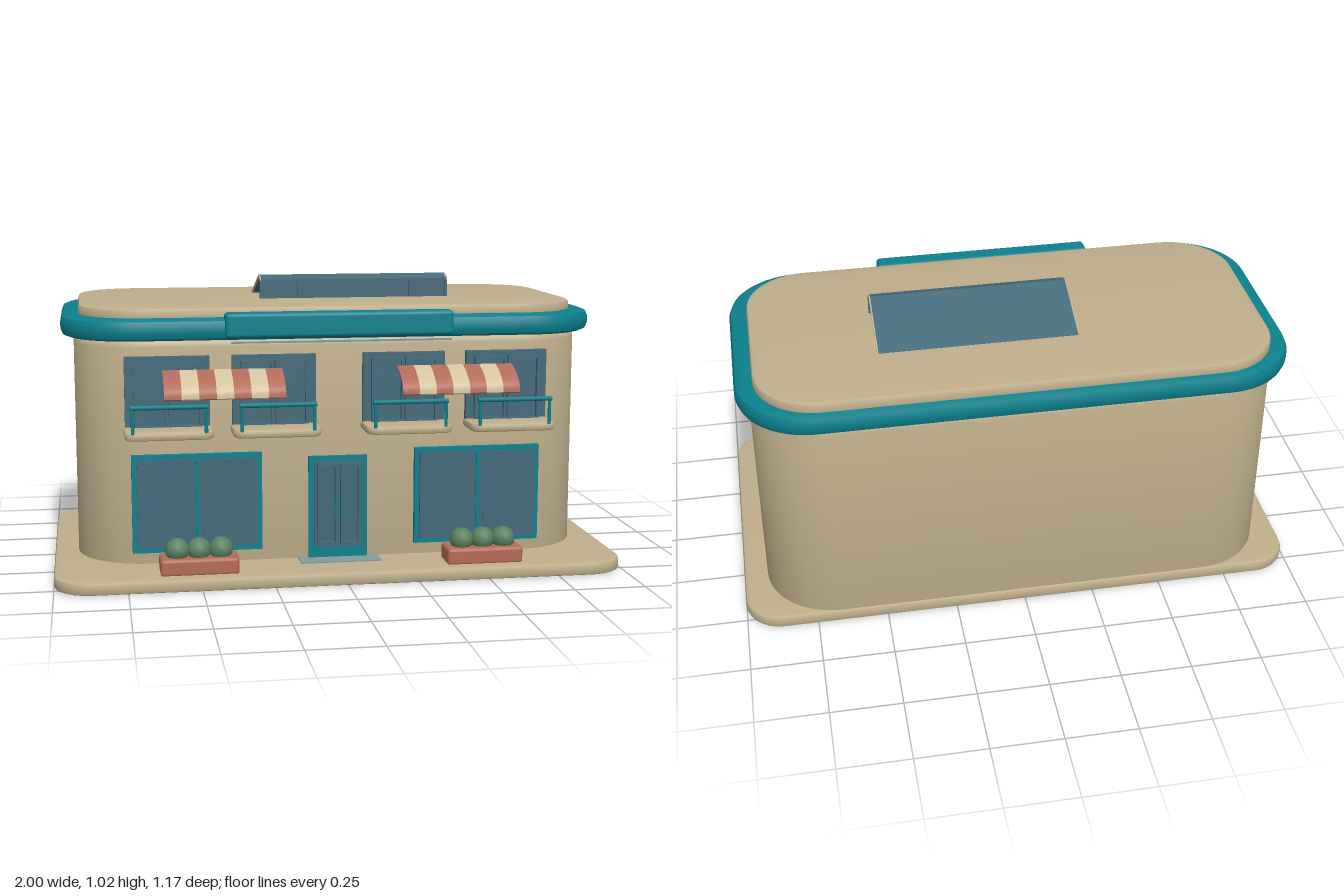
import * as THREE from 'three';
import { toCreasedNormals } from 'three/addons/utils/BufferGeometryUtils.js';
import { RoundedBoxGeometry } from 'three/addons/geometries/RoundedBoxGeometry.js';

const mat = (name, color) => Object.assign(new THREE.MeshStandardMaterial({ color }), { name });

export function createModel() {
  const model = new THREE.Group();
  model.name = 'shopBuilding';
  const stucco = mat('stucco', 0xbfae8c);
  const teal = mat('teal', 0x0b808c);
  const glass = mat('glass', 0x456a7a);
  const terracotta = mat('terracotta', 0xb26a58);
  const cream = mat('cream', 0xd3c29e);
  const green = mat('foliage', 0x5c8060);
  const pale = mat('paleGlass', 0x84999b);

  const add = (parent, name, geo, material) => {
    const m = new THREE.Mesh(geo, material);
    m.name = name;
    parent.add(m);
    return m;
  };
  const group = (name, x = 0) => {
    const g = new THREE.Group();
    g.name = name;
    g.position.x = x;
    model.add(g);
    return g;
  };
  // Box given by its extents
  const box = (parent, name, material, x0, x1, y0, y1, z0, z1) =>
    add(parent, name, new THREE.BoxGeometry(x1 - x0, y1 - y0, z1 - z0), material)
      .position.set((x0 + x1) / 2, (y0 + y1) / 2, (z0 + z1) / 2);
  const rounded = (parent, name, material, x0, x1, y0, y1, z0, z1, r) =>
    add(parent, name, new RoundedBoxGeometry(x1 - x0, y1 - y0, z1 - z0, 2, r), material)
      .position.set((x0 + x1) / 2, (y0 + y1) / 2, (z0 + z1) / 2);

  // Rounded rectangle slab lying flat, with bevelled edges
  function slab(parent, name, material, hx, z0, z1, y0, y1, r, bevel, segments = 1) {
    const a = hx - bevel, b = (z1 - z0) / 2 - bevel, q = r - bevel;
    const s = new THREE.Shape();
    s.moveTo(-a + q, -b);
    s.absarc(a - q, -b + q, q, -Math.PI / 2, 0);
    s.absarc(a - q, b - q, q, 0, Math.PI / 2);
    s.absarc(-a + q, b - q, q, Math.PI / 2, Math.PI);
    s.absarc(-a + q, -b + q, q, Math.PI, Math.PI * 1.5);
    const geo = new THREE.ExtrudeGeometry(s, {
      depth: y1 - y0 - 2 * bevel, bevelThickness: bevel, bevelSize: bevel,
      bevelSegments: segments, curveSegments: 8,
    });
    geo.rotateX(-Math.PI / 2).translate(0, y0 + bevel, (z0 + z1) / 2);
    return add(parent, name, toCreasedNormals(geo, 0.6), material);
  }

  // Closed (z, y) profile extruded along x
  function profile(parent, name, material, points, x0, x1) {
    const shape = new THREE.Shape(points.map(([z, y]) => new THREE.Vector2(z, y)));
    const geo = new THREE.ExtrudeGeometry(shape, { depth: x1 - x0, bevelEnabled: false });
    geo.rotateY(-Math.PI / 2).translate(x1, 0, 0);
    return add(parent, name, toCreasedNormals(geo, 0.6), material);
  }

  // Upright rectangular frame with an opening
  function frame(parent, name, material, x0, x1, y0, y1, t, bottom, z0, z1) {
    const rect = (S, a, b, c, d) => new S([[a, c], [b, c], [b, d], [a, d]].map(p => new THREE.Vector2(...p)));
    const s = rect(THREE.Shape, x0, x1, y0, y1);
    s.holes.push(rect(THREE.Path, x0 + t, x1 - t, y0 + bottom, y1 - t));
    const geo = new THREE.ExtrudeGeometry(s, { depth: z1 - z0, bevelEnabled: false });
    add(parent, name, geo.translate(0, 0, z0), material);
  }

  // Main masses
  slab(model, 'basePlate', stucco, 1, -0.56, 0.585, 0, 0.045, 0.13, 0.012, 2);
  slab(model, 'walls', stucco, 0.915, -0.55, 0.355, 0.01, 0.835, 0.25, 0.028, 3);
  slab(model, 'corniceBand', teal, 0.96, -0.587, 0.392, 0.83, 0.905, 0.26, 0.026, 2);
  slab(model, 'roofSlab', stucco, 0.897, -0.555, 0.327, 0.88, 0.938, 0.22, 0.013, 2);

  // Blank fascia panel and the light strip below it
  rounded(model, 'fasciaPanel', teal, -0.4, 0.4, 0.838, 0.925, 0.34, 0.41, 0.014);
  box(model, 'lightStrip', pale, -0.38, 0.39, 0.822, 0.828, 0.405, 0.417);

  // Roof skylight: sloped pane, upright front panes and mullions
  const skylight = group('skylight');
  const X0 = -0.235, X1 = 0.47;
  const slope = [[0, 1.007], [-0.045, 1.023], [-0.285, 0.939], [-0.285, 0.934], [-0.045, 1.012], [0, 0.999]];
  profile(skylight, 'skylightRoof', glass, slope, X0 + 0.005, X1 - 0.005);
  for (const x of [X0, X1 - 0.005])
    profile(skylight, 'skylightTrim', stucco, slope.map(([z, y]) => [z, y + 0.002]), x, x + 0.005);
  box(skylight, 'skylightFront', glass, X0, X1, 0.936, 1.005, -0.014, -0.006);
  for (let i = 0; i <= 5; i++) {
    const x = X0 + 0.004 + (X1 - X0 - 0.008) * i / 5;
    box(skylight, 'skylightMullion', glass, x - 0.004, x + 0.004, 0.936, 1.005, -0.017, 0);
  }

  // Door with two glazed leaves and a mat
  const door = group('door');
  frame(door, 'doorFrame', teal, -0.108, 0.1, 0.045, 0.413, 0.018, 0.045, 0.34, 0.373);
  box(door, 'doorGlass', glass, -0.09, 0.082, 0.09, 0.395, 0.34, 0.388);
  for (const x of [-0.045, 0.037]) {
    frame(door, 'doorLeaf', glass, x - 0.036, x + 0.036, 0.1, 0.39, 0.01, 0.01, 0.388, 0.404);
    box(door, 'doorHandle', teal, x + (x < 0 ? 0.025 : -0.031), x + (x < 0 ? 0.031 : -0.025), 0.2, 0.28, 0.4, 0.408);
  }
  box(door, 'doorMat', pale, -0.145, 0.14, 0.043, 0.049, 0.35, 0.44);

  // Awning cross-section: curved upper skin and its underside
  const arc = new THREE.CatmullRomCurve3(
    [[0.41, 0.735], [0.46, 0.718], [0.502, 0.692], [0.52, 0.672], [0.524, 0.65]]
      .map(([z, y]) => new THREE.Vector3(z, y, 0))).getPoints(10);
  const skin = [
    ...arc.map(p => [p.x, p.y]),
    ...arc.slice().reverse().map(p => [p.x - 0.003, p.y - 0.004]),
  ];

  for (const side of [-1, 1]) {
    // Ground-floor display window
    const shop = group('displayWindow', side * 0.5);
    frame(shop, 'windowFrame', teal, -0.228, 0.226, 0.088, 0.434, 0.017, 0.017, 0.34, 0.375);
    box(shop, 'windowGlass', glass, -0.211, 0.209, 0.105, 0.417, 0.34, 0.386);
    box(shop, 'windowMullion', teal, -0.008, 0.006, 0.105, 0.417, 0.38, 0.391);
    for (const c of [-0.109, 0.107]) {
      box(shop, 'upperGlazingBar', glass, c - 0.085, c + 0.085, 0.352, 0.358, 0.38, 0.39);
      box(shop, 'lowerGlazingBar', glass, c - 0.085, c + 0.085, 0.143, 0.149, 0.38, 0.39);
    }
    box(shop, 'displayPanel', glass, 0.02, 0.148, 0.16, 0.23, 0.38, 0.389);

    // Planter with three clipped shrubs
    const planter = group('planter', side * 0.5 - 0.005);
    rounded(planter, 'planterBox', terracotta, -0.135, 0.135, 0.04, 0.1, 0.415, 0.532, 0.012);
    for (const x of [-0.075, 0, 0.075])
      add(planter, 'shrub', new THREE.SphereGeometry(0.042, 12, 8), green).position.set(x, 0.122, 0.477);

    // Striped awning
    const awning = group('awning', side * 0.4075 - 0.005);
    const w = 0.412 / 7;
    for (let i = 0; i < 7; i++)
      profile(awning, 'awningStripe', i % 2 ? cream : terracotta, skin, -0.206 + i * w, -0.206 + (i + 1) * w);

    // Upper windows, each with its own small balcony
    for (const offset of [-0.185, 0.185]) {
      const bay = group('balconyBay', side * 0.415 + offset);
      box(bay, 'upperWindowFrame', glass, -0.146, 0.146, 0.51, 0.777, 0.34, 0.376);
      for (const c of [-0.06, 0.06]) {
        frame(bay, 'upperWindowLeaf', glass, c - 0.058, c + 0.058, 0.53, 0.76, 0.01, 0.01, 0.376, 0.394);
        box(bay, 'upperGlazingBar', glass, c - 0.05, c + 0.05, 0.69, 0.696, 0.37, 0.384);
      }
      slab(bay, 'balconySlab', stucco, 0.152, 0.33, 0.5, 0.506, 0.535, 0.035, 0.01, 2);
      for (const x of [-0.124, 0.124])
        add(bay, 'railPost', new THREE.CylinderGeometry(0.006, 0.006, 0.09, 8), teal).position.set(x, 0.575, 0.496);
      const rail = add(bay, 'handrail', new THREE.CylinderGeometry(0.008, 0.008, 0.264, 8), teal);
      rail.rotation.z = Math.PI / 2;
      rail.position.set(0, 0.62, 0.496);
    }
  }
  return model;
}
